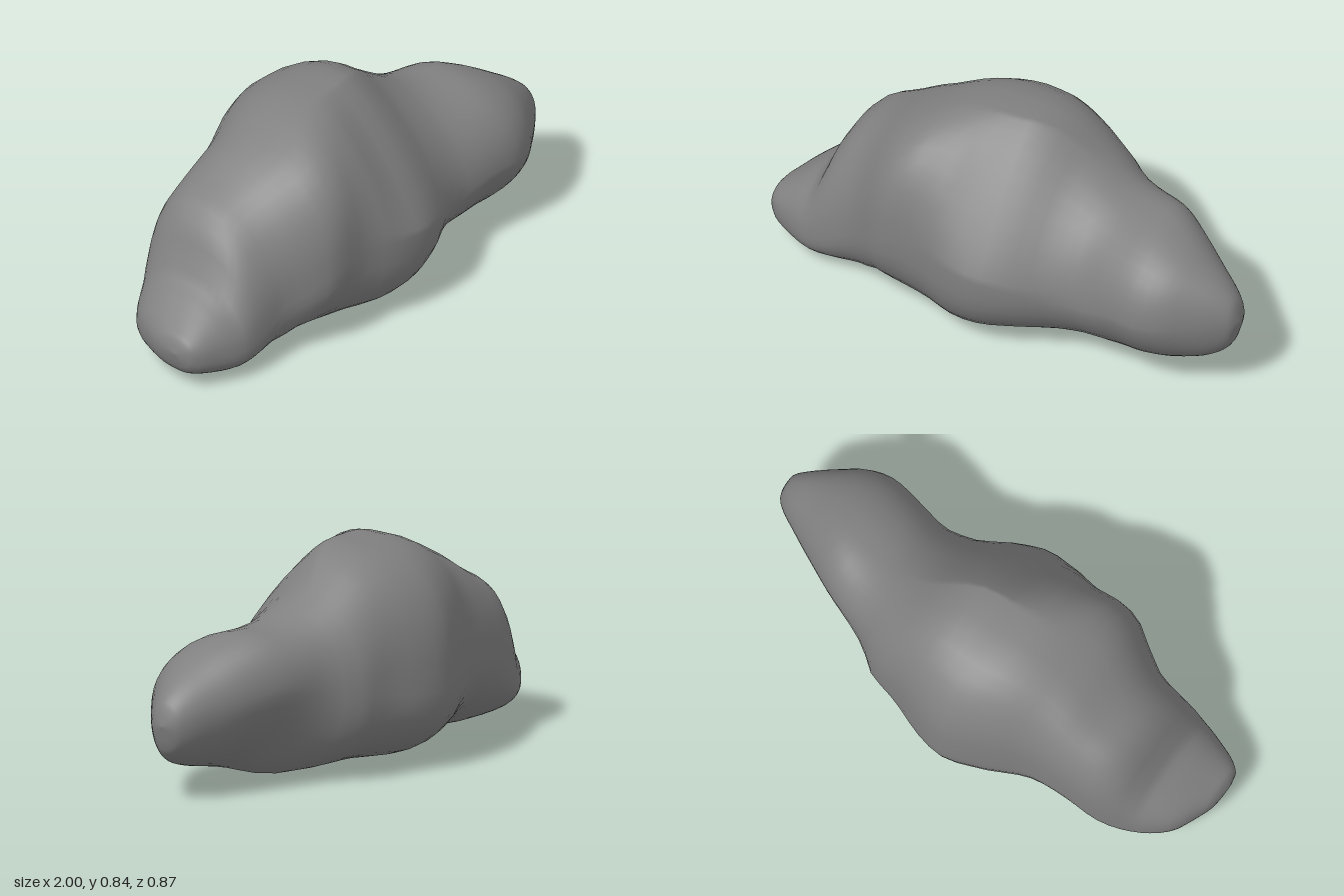
import * as THREE from 'three';

// Smooth, non-overshooting curve through [x, value] pairs
function track(...p) {
  const d = p.slice(1).map((b, i) => (b[1] - p[i][1]) / (b[0] - p[i][0]));
  const m = p.map((_, i) => {
    if (i === 0) return d[0];
    if (i === p.length - 1) return d[i - 1];
    const a = d[i - 1], b = d[i];
    return a * b <= 0 ? 0 : (2 * a * b) / (a + b);
  });
  return (x) => {
    let i = 0;
    while (i < p.length - 2 && x > p[i + 1][0]) i++;
    const h = p[i + 1][0] - p[i][0], t = (x - p[i][0]) / h, s = 1 - t;
    return (1 + 2 * t) * s * s * p[i][1] + t * s * s * h * m[i] +
      t * t * (3 - 2 * t) * p[i + 1][1] - t * t * s * h * m[i + 1];
  };
}

// Outline seen from the front
const top = track([-1, 0.16], [-0.985, 0.21], [-0.95, 0.24], [-0.86, 0.31], [-0.78, 0.37], [-0.74, 0.48], [-0.68, 0.565],
  [-0.55, 0.64], [-0.42, 0.73], [-0.22, 0.82], [-0.13, 0.836], [0.05, 0.84], [0.15, 0.81], [0.3, 0.705],
  [0.45, 0.622], [0.53, 0.606], [0.62, 0.606], [0.72, 0.575], [0.85, 0.5], [0.95, 0.425], [0.985, 0.38], [1, 0.31]);
const bottom = track([-1, 0.16], [-0.985, 0.1], [-0.95, 0.06], [-0.8, 0.02], [-0.56, 0.005], [-0.45, 0.035], [-0.3, 0.015],
  [-0.1, 0.003], [0.2, 0.03], [0.43, 0.025], [0.6, 0.07], [0.8, 0.115], [0.9, 0.15], [0.97, 0.205], [1, 0.31]);

// Outline seen from above
const back = track([-1, 0.08], [-0.99, -0.01], [-0.965, -0.07], [-0.91, -0.175], [-0.8, -0.25], [-0.62, -0.315], [-0.4, -0.325],
  [-0.2, -0.4], [-0.05, -0.44], [0.05, -0.42], [0.2, -0.36], [0.33, -0.322], [0.41, -0.26], [0.6, -0.185],
  [0.75, -0.1], [0.87, -0.025], [0.96, 0.035], [0.99, 0.07], [1, 0.12]);
const front = track([-1, 0.08], [-0.985, 0.145], [-0.9, 0.2], [-0.75, 0.25], [-0.6, 0.26], [-0.5, 0.31], [-0.4, 0.365],
  [-0.25, 0.375], [-0.1, 0.42], [0.02, 0.435], [0.15, 0.4], [0.3, 0.325], [0.4, 0.305], [0.5, 0.32],
  [0.67, 0.348], [0.75, 0.33], [0.85, 0.27], [0.96, 0.19], [0.99, 0.16], [1, 0.12]);

// Where each cross-section is highest, lowest and widest
const topZ = track([-1, 0.08], [-0.85, 0], [-0.65, -0.07], [-0.35, 0.02], [0, 0.03], [0.3, -0.05], [0.6, 0], [0.85, 0.11], [1, 0.12]);
const bottomZ = track([-1, 0.08], [-0.8, 0.03], [0, 0.03], [0.4, 0.03], [0.65, 0.14], [0.85, 0.15], [1, 0.12]);
const frontY = track([-1, 0.16], [-0.8, 0.13], [-0.5, 0.27], [-0.3, 0.36], [0, 0.34], [0.4, 0.27], [0.6, 0.31], [1, 0.31]);
const backY = track([-1, 0.16], [-0.8, 0.14], [-0.5, 0.3], [0, 0.31], [0.3, 0.34], [0.6, 0.42], [0.85, 0.36], [1, 0.31]);

// Roundness of each quarter: 2 is elliptical, less is flatter, more is fuller
const frontTop = track([-1, 2.2], [-0.7, 2.1], [-0.37, 2.6], [-0.2, 1.8], [0, 1.2], [0.2, 1.35], [0.35, 1.7], [0.55, 2.1], [1, 2]);
const backTop = track([-1, 2.2], [-0.6, 2.8], [-0.1, 2.7], [0.2, 2.6], [0.35, 2.2], [0.65, 2.2], [1, 2]);
const backBottom = track([-1, 2.2], [-0.5, 2.1], [0, 2.3], [0.3, 2.2], [0.6, 1.55], [1, 2]);
const frontBottom = track([-1, 2.6], [-0.8, 2.6], [-0.5, 2.2], [-0.1, 2.8], [0.1, 2.5], [0.4, 1.8], [0.6, 1.65], [1, 2]);

function sectionPoint(x, angle) {
  const c = Math.cos(angle), s = Math.sin(angle);
  const isFront = c >= 0, isTop = s >= 0;
  const n = (isFront ? (isTop ? frontTop : frontBottom) : (isTop ? backTop : backBottom))(x);
  const z0 = (isTop ? topZ : bottomZ)(x), y0 = (isFront ? frontY : backY)(x);
  const z1 = (isFront ? front : back)(x), y1 = (isTop ? top : bottom)(x);
  return [x,
    y0 + (y1 - y0) * Math.abs(s) ** (2 / n),
    z0 + (z1 - z0) * Math.abs(c) ** (2 / n)];
}

export function createModel() {
  const rings = 56, sides = 40;
  const positions = [-1, 0.16, 0.08], index = [];
  for (let i = 1; i < rings; i++) {
    const x = -Math.cos((Math.PI * i) / rings);
    for (let j = 0; j < sides; j++) positions.push(...sectionPoint(x, (2 * Math.PI * j) / sides));
  }
  positions.push(1, 0.31, 0.12);
  const last = positions.length / 3 - 1;

  // Skin between the rings, closed to a point at both ends
  for (let j = 0; j < sides; j++) {
    const k = (j + 1) % sides;
    index.push(0, 1 + j, 1 + k);
    for (let i = 0; i < rings - 2; i++) {
      const a = 1 + i * sides, b = a + sides;
      index.push(a + j, b + j, b + k, a + j, b + k, a + k);
    }
    index.push(last, last - sides + k, last - sides + j);
  }

  const geometry = new THREE.BufferGeometry();
  geometry.setAttribute('position', new THREE.Float32BufferAttribute(positions, 3));
  geometry.setIndex(index);
  geometry.computeVertexNormals();

  const rock = new THREE.Mesh(geometry, new THREE.MeshStandardMaterial({ color: 0x808080 }));
  rock.name = 'rock';
  const group = new THREE.Group();
  group.name = 'boulder';
  group.add(rock);
  return group;
}
